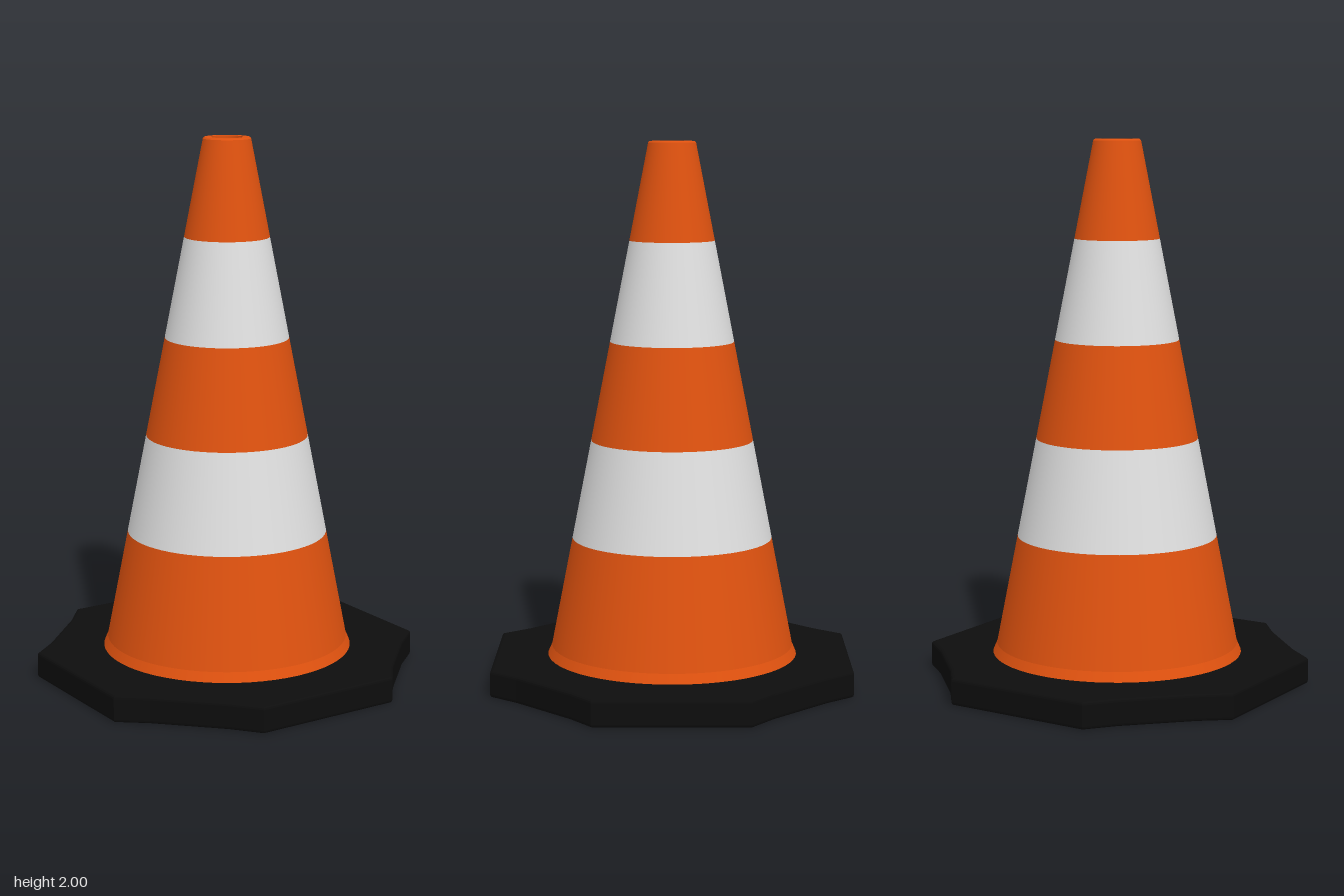
import * as THREE from 'three';

const material = (name, color) => {
  const m = new THREE.MeshStandardMaterial({ color });
  m.name = name;
  return m;
};

export function createModel() {
  const orange = material('orange plastic', 0xe0520f);
  const white = material('reflective white', 0xe0e0e0);
  const black = material('black rubber', 0x0d0d0d);
  const model = new THREE.Group();
  model.name = 'trafficCone';

  const add = (name, geometry, mat) => {
    const mesh = new THREE.Mesh(geometry, mat);
    mesh.name = name;
    model.add(mesh);
    return mesh;
  };
  // Each straight profile run is its own lathe, so edges between runs stay crisp
  const ring = (name, [r0, y0], [r1, y1], mat) =>
    add(name, new THREE.LatheGeometry([new THREE.Vector2(r0, y0), new THREE.Vector2(r1, y1)], 64), mat);

  // Rubber base: octagon with notched diagonal sides and a softened rim
  const outline = [];
  const quarter = [[0.66, 0.28], [0.56, 0.36], [0.36, 0.56], [0.28, 0.66]];
  for (let i = 0; i < 4; i++) {
    for (const [x, y] of quarter) {
      outline.push(new THREE.Vector2(x, y).rotateAround(new THREE.Vector2(), i * Math.PI / 2));
    }
  }
  const bevel = 0.012;
  const baseGeometry = new THREE.ExtrudeGeometry(new THREE.Shape(outline), {
    depth: 0.1 - 2 * bevel,
    bevelSize: bevel, bevelThickness: bevel, bevelOffset: -bevel, bevelSegments: 3,
  });
  baseGeometry.rotateX(-Math.PI / 2).translate(0, bevel, 0);
  add('base', baseGeometry, black);

  // Flared foot where the cone meets the base
  ring('foot', [0.465, 0.098], [0.449, 0.135], orange);

  // Tapered body in alternating bands
  const radiusAt = (y) => THREE.MathUtils.mapLinear(y, 0.135, 1.995, 0.449, 0.087);
  const levels = [0.135, 0.54, 0.905, 1.27, 1.64, 1.995];
  for (let i = 0; i < levels.length - 1; i++) {
    const [low, high] = [levels[i], levels[i + 1]];
    ring(i % 2 ? 'whiteBand' : 'orangeBand', [radiusAt(low), low], [radiusAt(high), high], i % 2 ? white : orange);
  }

  // Rim and the recessed hole at the tip
  ring('rimEdge', [0.087, 1.995], [0.082, 2], orange);
  ring('rim', [0.082, 2], [0.058, 2], orange);
  ring('holeWall', [0.058, 2], [0.058, 1.9], orange);
  ring('holeFloor', [0.058, 1.9], [0, 1.9], orange);

  return model;
}
